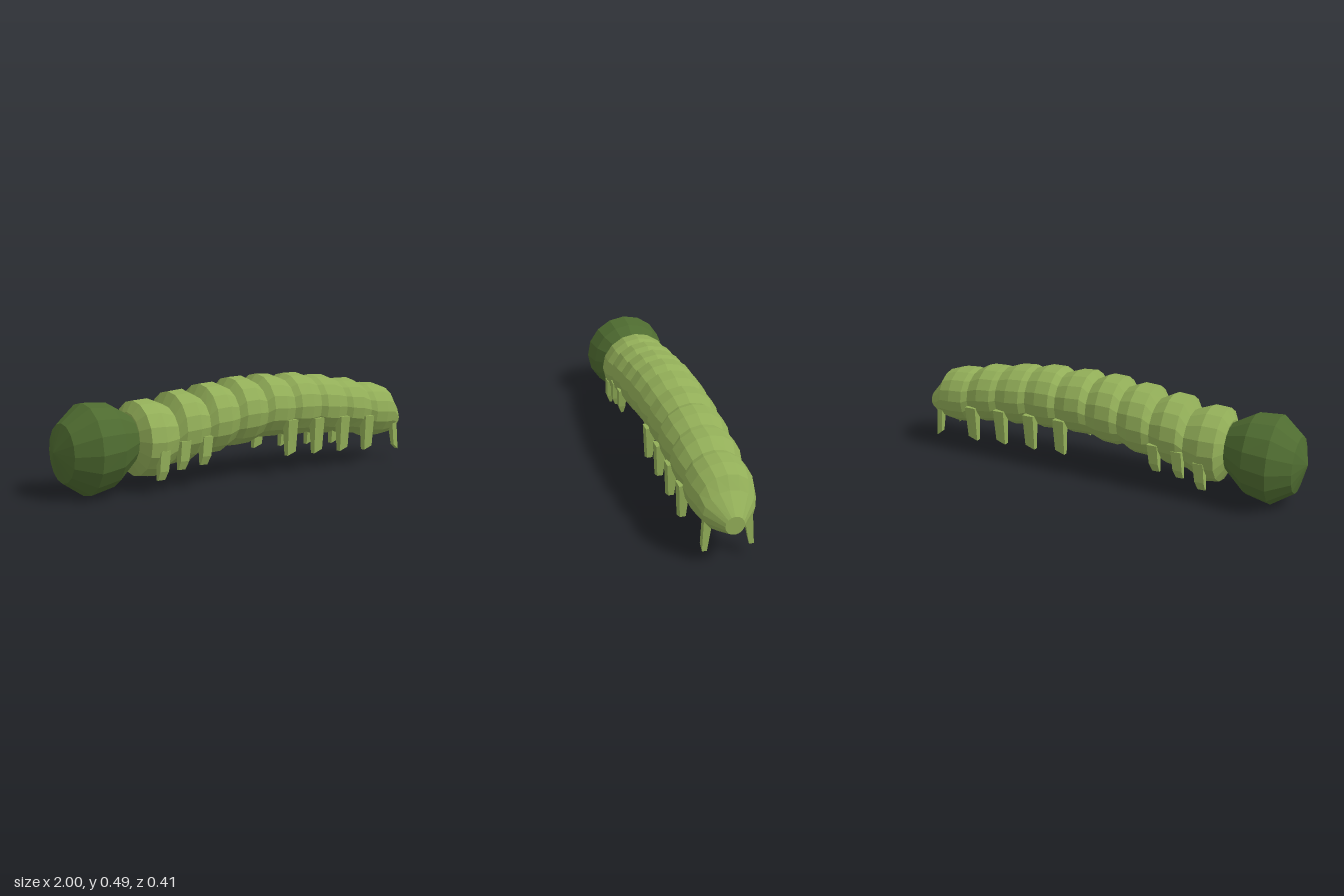
import * as THREE from 'three';

const bodyGreen = new THREE.MeshStandardMaterial({ color: 0x92ae58, flatShading: true });
bodyGreen.name = 'leaf green';
const headGreen = new THREE.MeshStandardMaterial({ color: 0x4e6b30, flatShading: true });
headGreen.name = 'dark green';

// Skin a list of equal-length point rings and close both ends
function loft(rings) {
  const n = rings[0].length, pos = [], index = [];
  rings.forEach(r => r.forEach(p => pos.push(...p)));
  for (let i = 0; i < rings.length - 1; i++) {
    for (let j = 0; j < n; j++) {
      const k = (j + 1) % n, a = i * n + j, b = i * n + k, c = a + n, d = b + n;
      index.push(a, b, c, b, d, c);
    }
  }
  const last = (rings.length - 1) * n;
  for (let j = 1; j < n - 1; j++) {
    index.push(0, j + 1, j, last, last + j, last + j + 1);
  }
  const g = new THREE.BufferGeometry();
  g.setAttribute('position', new THREE.Float32BufferAttribute(pos, 3));
  g.setIndex(index);
  const flat = g.toNonIndexed();
  flat.computeVertexNormals();
  return flat;
}

// Sixteen-sided oval ring across the x axis
function ring([x, top, bottom, halfWidth]) {
  return Array.from({ length: 16 }, (_, i) => {
    const a = i * Math.PI / 8;
    return [x, (top + bottom) / 2 + Math.cos(a) * (top - bottom) / 2, Math.sin(a) * halfWidth];
  });
}

// Rectangular slice of a leg; slant lowers the -x edge
function slice(x, y, z, w, d, slant = 0) {
  const X = w / 2, Z = d / 2;
  return [[x + X, y + slant, z - Z], [x + X, y + slant, z + Z],
    [x - X, y - slant, z + Z], [x - X, y - slant, z - Z]];
}

export function createModel() {
  const model = new THREE.Group();
  model.name = 'caterpillar';
  const add = (name, geometry, material) => {
    const mesh = new THREE.Mesh(geometry, material);
    mesh.name = name;
    model.add(mesh);
  };

  // Head: x, top, bottom, half width
  add('head', loft([
    [-1, 0.211, 0.209, 0.001], [-0.96, 0.335, 0.07, 0.13], [-0.86, 0.417, 0.003, 0.207],
    [-0.745, 0.41, 0.03, 0.192], [-0.63, 0.345, 0.13, 0.11],
  ].map(ring)), headGreen);

  // Creases between the body segments
  const creases = [
    [-0.64, 0.36, 0.12, 0.12], [-0.455, 0.383, 0.1, 0.153], [-0.285, 0.413, 0.147, 0.15],
    [-0.12, 0.445, 0.167, 0.148], [0.045, 0.46, 0.182, 0.146], [0.212, 0.468, 0.192, 0.143],
    [0.38, 0.468, 0.19, 0.14], [0.55, 0.445, 0.178, 0.137], [0.72, 0.41, 0.155, 0.132],
    [0.89, 0.388, 0.132, 0.128],
  ];
  // Top, bottom and half width of each segment's two swollen rings
  const swells = [
    [0.41, 0.065, 0.178, 0.415, 0.055, 0.18], [0.44, 0.105, 0.175, 0.447, 0.11, 0.175],
    [0.465, 0.13, 0.172, 0.47, 0.135, 0.172], [0.487, 0.155, 0.169, 0.49, 0.16, 0.168],
    [0.495, 0.182, 0.164, 0.49, 0.18, 0.163], [0.49, 0.18, 0.161, 0.49, 0.175, 0.158],
    [0.475, 0.175, 0.157, 0.47, 0.165, 0.155], [0.447, 0.165, 0.152, 0.445, 0.15, 0.15],
    [0.415, 0.13, 0.146, 0.41, 0.125, 0.144],
  ];
  swells.forEach((s, i) => {
    const a = creases[i], b = creases[i + 1];
    add('bodySegment' + (i + 1), loft([
      a, [a[0] + 0.03, s[0], s[1], s[2]], [a[0] + 0.105, s[3], s[4], s[5]], b,
    ].map(ring)), bodyGreen);
  });

  // Tapered tail
  add('tail', loft([
    creases[9], [0.925, 0.333, 0.138, 0.113], [1, 0.253, 0.168, 0.042],
  ].map(ring)), bodyGreen);

  for (const side of [1, -1]) {
    const name = side > 0 ? 'left' : 'right';

    // Long hind legs: x, foot height
    [[0.185, 0.11], [0.353, 0.105], [0.523, 0.1], [0.69, 0.09]].forEach(([x, foot], i) => {
      const z = 0.135 - i * 0.003;
      add(name + 'HindLeg' + (i + 1), loft([
        slice(x, foot + 0.165, side * z, 0.058, 0.05),
        slice(x - 0.005, foot, side * (z + 0.005), 0.05, 0.026, 0.009),
      ]), bodyGreen);
    });

    // Slim tail legs
    add(name + 'TailLeg', loft([
      slice(0.905, 0.22, side * 0.085, 0.03, 0.04),
      slice(0.91, 0.07, side * 0.103, 0.03, 0.022, -0.012),
    ]), bodyGreen);

    // Short bent front legs: x, foot height, spread
    [[-0.55, 0.065, 0.155], [-0.44, 0.1, 0.15], [-0.32, 0.11, 0.147]].forEach(([x, foot, z], i) => {
      add(name + 'FrontLeg' + (i + 1), loft([
        slice(x + 0.01, foot + 0.13, side * z, 0.05, 0.04),
        slice(x, foot + 0.04, side * (z + 0.003), 0.045, 0.034),
        slice(x - 0.008, foot, side * z, 0.036, 0.012),
      ]), bodyGreen);
    });
  }
  return model;
}
